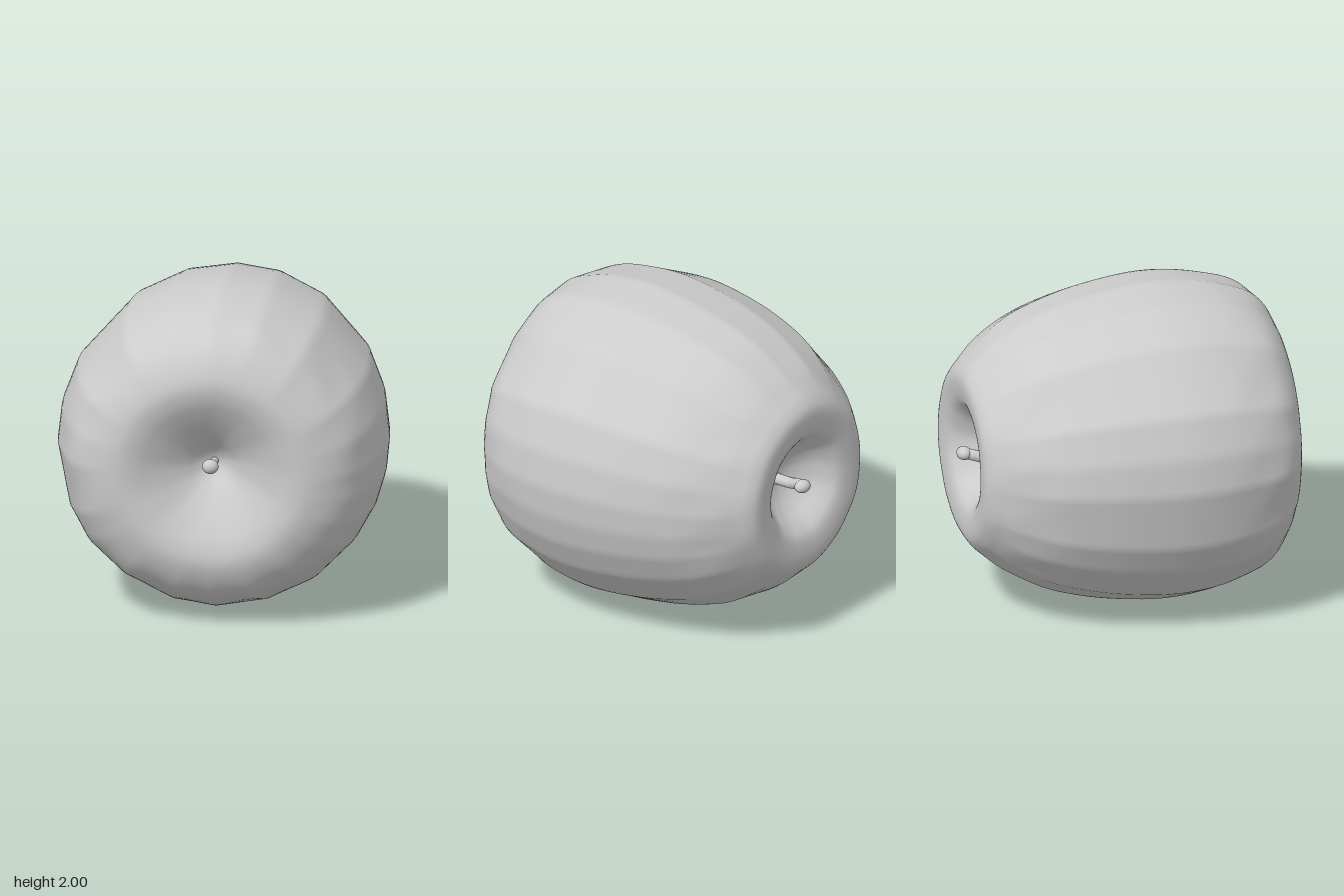
import * as THREE from 'three';
import { mergeVertices } from 'three/addons/utils/BufferGeometryUtils.js';

const material = new THREE.MeshStandardMaterial({ color: 0xcccccc, side: THREE.DoubleSide });

// Angles in degrees of the edges between the uneven lengthwise panels
const PANELS = [0, 13, 28, 53, 73, 90, 108, 126, 152, 167, 180, 202, 215, 233, 254, 270, 288, 307, 325, 338, 349, 360];

// [radius, z] from the bottom of the back hollow, around the outside, to the bottom of the front hollow
const PROFILE = [
  [0, -0.73], [0.07, -0.735], [0.15, -0.77], [0.22, -0.83], [0.28, -0.905], [0.335, -0.955], [0.42, -0.977],
  [0.5, -0.975], [0.56, -0.94], [0.61, -0.89], [0.7, -0.79], [0.835, -0.57], [0.925, -0.3], [0.972, -0.06],
  [0.998, 0.2], [0.985, 0.42], [0.945, 0.61], [0.865, 0.8], [0.78, 0.895], [0.68, 0.955], [0.57, 0.985],
  [0.47, 0.97], [0.38, 0.93], [0.28, 0.87], [0.17, 0.79], [0.07, 0.705], [0, 0.675],
];

function addMesh(parent, name, geometry) {
  const mesh = new THREE.Mesh(geometry, material);
  mesh.name = name;
  parent.add(mesh);
  return mesh;
}

// Radius factor that turns a circle into straight chords between the panel edges
function panelFactor(angle) {
  const deg = THREE.MathUtils.radToDeg(angle) % 360;
  const i = PANELS.findIndex(edge => edge > deg);
  const half = (PANELS[i] - PANELS[i - 1]) / 2;
  const offset = deg - PANELS[i - 1] - half;
  return Math.cos(THREE.MathUtils.degToRad(half)) / Math.cos(THREE.MathUtils.degToRad(offset));
}

// Lathed skin with flattened panels outside and gentle dents towards the ends
function bodyGeometry() {
  const curve = new THREE.CatmullRomCurve3(PROFILE.map(([r, z]) => new THREE.Vector3(r, z, 0)));
  const points = curve.getPoints(96).map(p => new THREE.Vector2(Math.max(p.x, 0), p.y));
  points[0].x = points[points.length - 1].x = 0;

  const lathe = new THREE.LatheGeometry(points, 180);
  lathe.rotateX(Math.PI / 2);
  lathe.deleteAttribute('uv');
  lathe.deleteAttribute('normal');
  const geometry = mergeVertices(lathe, 1e-4);

  const pos = geometry.attributes.position;
  for (let i = 0; i < pos.count; i++) {
    const x = pos.getX(i), y = pos.getY(i), z = pos.getZ(i);
    const r = Math.hypot(x, y);
    const a = Math.atan2(y, x) + 2 * Math.PI;
    const outer = THREE.MathUtils.smoothstep(r, 0.5, 0.8);
    const ends = THREE.MathUtils.smoothstep(Math.abs(z), 0.4, 0.8);
    const dent = 0.005 * Math.sin(3 * a + 4 * z) + 0.005 * Math.sin(7 * a - 9 * z) + 0.003 * Math.sin(13 * a + 14 * z);
    const s = 1 + outer * (panelFactor(a) - 1) + dent * ends;
    // the front rim stands slightly further out above than below
    const tilt = z > 0 ? 0.015 * y * ends : 0;
    pos.setXYZ(i, x * s, y * s, z + tilt);
  }
  geometry.computeVertexNormals();
  return geometry;
}

// Thin stalk along a bent path, ending in a rounded knob
function addStalk(parent, name, path, radius, knob) {
  const group = new THREE.Group();
  group.name = name;
  const points = path.map(p => new THREE.Vector3(...p));
  const curve = new THREE.CatmullRomCurve3(points);
  addMesh(group, name + 'Shaft', new THREE.TubeGeometry(curve, 16, radius, 12));
  const tip = addMesh(group, name + 'Knob', new THREE.SphereGeometry(1, 20, 14));
  tip.scale.set(...knob);
  tip.position.copy(points[points.length - 1]);
  parent.add(group);
}

export function createModel() {
  const model = new THREE.Group();
  model.name = 'apple';

  const fruit = new THREE.Group();
  fruit.name = 'fruit';
  fruit.position.y = 1;
  model.add(fruit);

  addMesh(fruit, 'body', bodyGeometry());
  addStalk(fruit, 'frontStalk', [[0, 0, 0.66], [-0.01, 0.004, 0.74], [-0.015, 0.005, 0.81]],
    0.025, [0.05, 0.045, 0.045]);
  addStalk(fruit, 'backStalk', [[-0.01, -0.02, -0.71], [-0.015, -0.02, -0.83], [0, 0, -0.9], [0.025, 0.01, -0.955]],
    0.034, [0.055, 0.04, 0.045]);

  return model;
}
